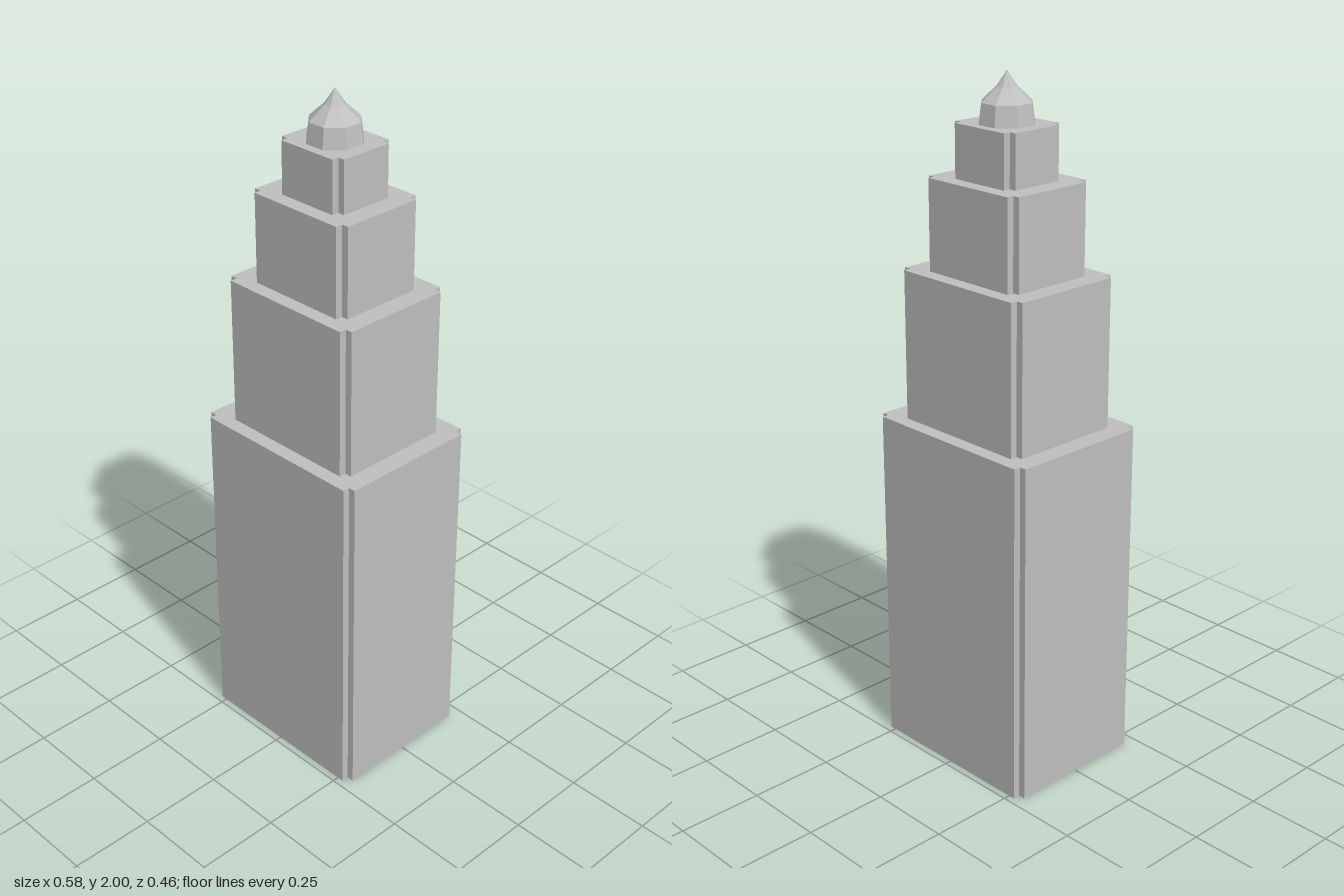
import * as THREE from 'three';

const NOTCH = 0.021;

// Rectangle with a small square notch in each corner, counter-clockwise.
function notchedOutline(w, d) {
  const x = w - NOTCH, y = d - NOTCH;
  return [
    [x, -d], [x, -y], [w, -y], [w, y], [x, y], [x, d],
    [-x, d], [-x, y], [-w, y], [-w, -y], [-x, -y], [-x, -d],
  ].map(([a, b]) => new THREE.Vector2(a, b));
}

// Upright walls around an outline, open at top and bottom.
function wallGeometry(outline, y0, y1) {
  const positions = [];
  outline.forEach((a, i) => {
    const b = outline[(i + 1) % outline.length];
    positions.push(
      a.x, y0, -a.y, b.x, y0, -b.y, b.x, y1, -b.y,
      a.x, y0, -a.y, b.x, y1, -b.y, a.x, y1, -a.y,
    );
  });
  const geometry = new THREE.BufferGeometry();
  geometry.setAttribute('position', new THREE.Float32BufferAttribute(positions, 3));
  geometry.computeVertexNormals();
  return geometry;
}

// Eight-sided ring with flat faces towards the axes; radii measured to the flats.
function octagonGeometry(bottom, top, y0, y1) {
  const k = 1 / Math.cos(Math.PI / 8);
  const geometry = new THREE.CylinderGeometry(
    top * k, bottom * k, y1 - y0, 8, 1, true, Math.PI / 8).toNonIndexed();
  geometry.translate(0, (y0 + y1) / 2, 0);
  geometry.computeVertexNormals();
  return geometry;
}

export function createModel() {
  const model = new THREE.Group();
  model.name = 'steppedTower';
  const stone = new THREE.MeshStandardMaterial({ color: 0xc0c0c0, side: THREE.DoubleSide });
  stone.name = 'stone grey';

  const add = (parent, name, geometry) => {
    const mesh = new THREE.Mesh(geometry, stone);
    mesh.name = name;
    parent.add(mesh);
  };

  // Four setback tiers: half width, half depth, bottom, top
  const tiers = [
    ['baseTier', 0.29, 0.231, 0, 1.015],
    ['secondTier', 0.232, 0.188, 1.015, 1.45],
    ['thirdTier', 0.174, 0.145, 1.45, 1.71],
    ['topTier', 0.115, 0.101, 1.71, 1.86],
  ];
  for (const [name, w, d, y0, y1] of tiers) {
    const tier = new THREE.Group();
    tier.name = name;
    const outline = notchedOutline(w, d);
    add(tier, 'walls', wallGeometry(outline, y0, y1));
    const roof = new THREE.ShapeGeometry(new THREE.Shape(outline));
    roof.rotateX(-Math.PI / 2).translate(0, y1, 0);
    add(tier, 'roof', roof);
    model.add(tier);
  }

  // Octagonal lantern with a two-slope pointed roof
  const lantern = new THREE.Group();
  lantern.name = 'lantern';
  add(lantern, 'drum', octagonGeometry(0.074, 0.067, 1.86, 1.917));
  add(lantern, 'lowerRoof', octagonGeometry(0.067, 0.027, 1.917, 1.957));
  add(lantern, 'spire', octagonGeometry(0.027, 0, 1.957, 2));
  model.add(lantern);

  return model;
}
